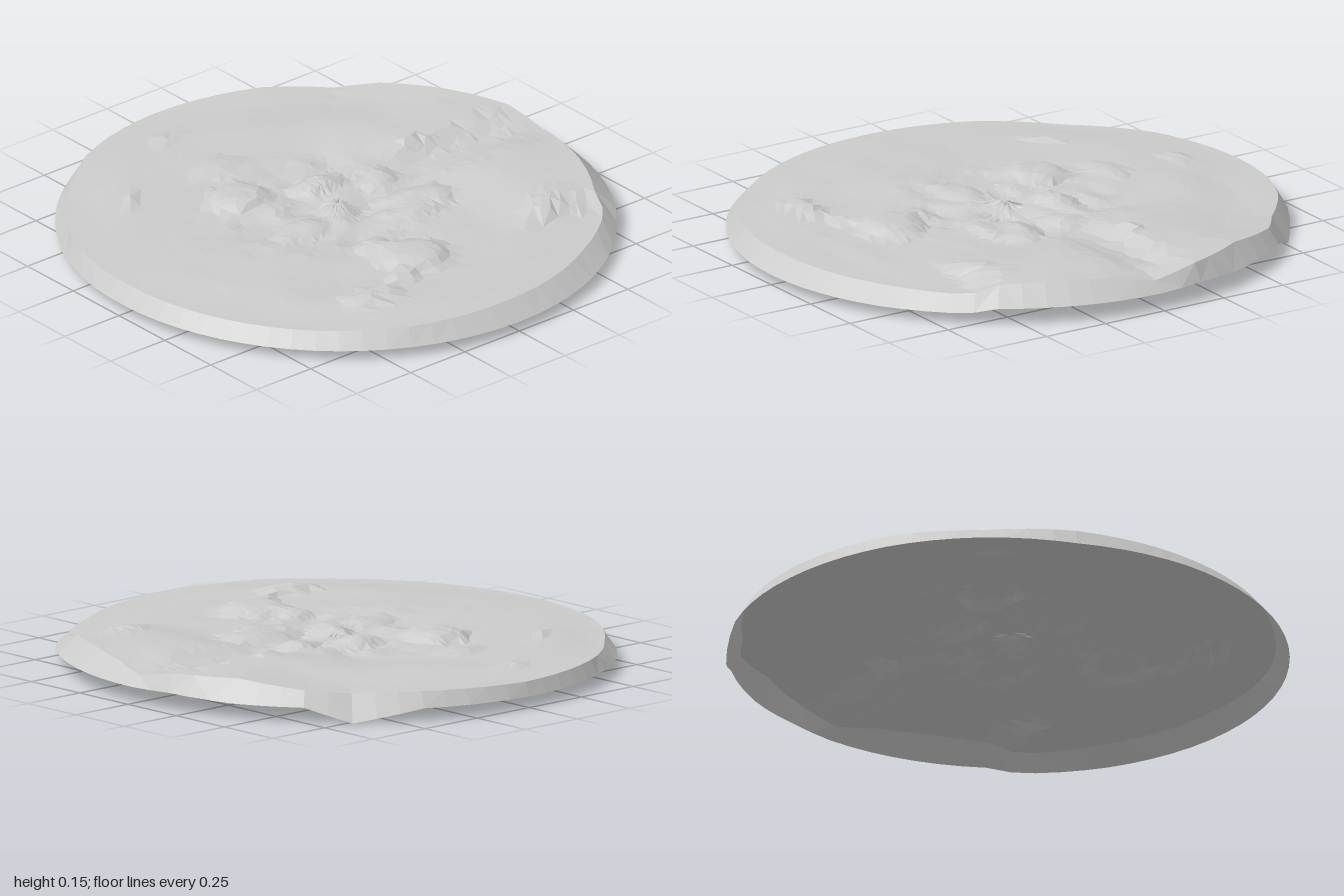
import * as THREE from 'three';

const SEG = 72, RINGS = 30;
const { smoothstep, lerp } = THREE.MathUtils;
const material = new THREE.MeshStandardMaterial({ color: 0xcccccc, flatShading: true, side: THREE.DoubleSide });

// Rim stations: angle from +x towards +z, top edge radius, top height, bottom height
const RIM = [
  [0, 0.965, 0.1, 0.06], [10, 0.935, 0.125, 0.06], [22, 0.925, 0.135, 0.06], [36, 0.925, 0.125, 0.06],
  [41, 0.955, 0.095, 0.04], [60, 0.93, 0.092, 0.036], [90, 0.935, 0.097, 0.036], [115, 0.955, 0.095, 0.036],
  [135, 0.95, 0.09, 0.036], [180, 0.955, 0.093, 0.036], [205, 0.97, 0.09, 0.028], [225, 0.955, 0.085, 0.036],
  [245, 0.975, 0.092, 0.04], [270, 0.98, 0.09, 0.04], [295, 0.965, 0.1, 0.045], [310, 0.94, 0.095, 0],
  [320, 0.965, 0.11, 0.055], [335, 0.945, 0.135, 0.055], [350, 0.97, 0.13, 0.065], [360, 0.965, 0.1, 0.06],
];

// Domes and boulders: x, z, radius x, radius z, height, edge sharpness
const BUMPS = [
  [-0.23, -0.27, 0.13, 0.11, 0.036, 4], [-0.04, 0.47, 0.14, 0.13, 0.036, 4], // two large boulders
  [-0.13, -0.5, 0.13, 0.07, 0.016, 2], [0.22, 0.15, 0.17, 0.12, 0.022, 4],
  [0.05, -0.17, 0.13, 0.07, 0.024, 3], [0.24, -0.06, 0.09, 0.07, 0.022, 3],
  [-0.22, 0.07, 0.12, 0.08, 0.02, 3], [-0.02, 0.01, 0.06, 0.05, 0.022, 3],
  [-0.1, 0.33, 0.08, 0.07, 0.02, 2], [0.08, 0.09, 0.08, 0.06, -0.018, 2],
  [-0.1, -0.06, 0.12, 0.05, -0.014, 2], [-0.18, 0.57, 0.07, 0.06, 0.02, 3],
  [-0.36, 0.62, 0.13, 0.06, 0.022, 4], [-0.53, -0.5, 0.05, 0.04, 0.014, 2],
  [-0.12, -0.8, 0.06, 0.05, 0.014, 2], [0.6, 0.5, 0.17, 0.08, 0.014, 3],
  [0.5, -0.18, 0.07, 0.05, 0.016, 2], [-0.45, 0.2, 0.25, 0.2, 0.006, 1],
  [0.2, -0.62, 0.28, 0.14, 0.01, 1], [0.1, 0.8, 0.35, 0.1, -0.008, 1],
];

// Repeatable pseudo-random value for a lattice point
function hash(i, j) {
  const s = Math.sin(i * 127.1 + j * 311.7) * 43758.5453;
  return s - Math.floor(s);
}

function noise(x, z) {
  const i = Math.floor(x), j = Math.floor(z), u = x - i, v = z - j;
  return lerp(lerp(hash(i, j), hash(i + 1, j), u), lerp(hash(i, j + 1), hash(i + 1, j + 1), u), v) - 0.5;
}

function rimAt(deg) {
  const k = Math.max(1, RIM.findIndex((s) => s[0] >= deg));
  const a = RIM[k - 1], b = RIM[k], t = (deg - a[0]) / (b[0] - a[0]);
  return [1, 2, 3].map((n) => lerp(a[n], b[n], t));
}

// Height of the rocky ground
function height(x, z) {
  let y = 0.101 + 0.012 * noise(x * 5 + z * 2, z * 7 - x * 2);
  const centre = 1 - smoothstep(Math.hypot(x, z), 0.2, 0.6);
  y += 0.024 * centre * noise(x * 15 + 4, z * 17 + 9);
  // Raised slab at the right, ending in a step towards the front
  y += 0.03 * smoothstep(x, 0.3, 0.6) * smoothstep(z, -0.07, 0.1) * (1 - smoothstep(z, 0.52, 0.59));
  // Slab behind the crack, sloping away towards the back
  y += 0.036 * smoothstep(x, 0.15, 0.5) * smoothstep(-z, 0.08, 0.18) * (1 - smoothstep(-z, 0.2, 0.7));
  for (const [bx, bz, rx, rz, h, sharp] of BUMPS) {
    const d = Math.hypot((x - bx) / rx, (z - bz) / rz);
    if (d < 1) y += h * (1 - Math.pow(d, sharp));
  }
  return y;
}

function mesh(name, positions, indices) {
  const geometry = new THREE.BufferGeometry();
  geometry.setAttribute('position', new THREE.Float32BufferAttribute(positions, 3));
  geometry.setIndex(indices);
  geometry.computeVertexNormals();
  const part = new THREE.Mesh(geometry, material);
  part.name = name;
  return part;
}

// Two triangles per cell between ring p (inside) and ring q (outside)
function bridge(indices, p, q) {
  for (let s = 0; s < SEG; s++) {
    const n = (s + 1) % SEG;
    if (hash(s, p) > 0.5) indices.push(p + s, p + n, q + s, p + n, q + n, q + s);
    else indices.push(p + s, q + n, q + s, p + s, p + n, q + n);
  }
}

export function createModel() {
  const group = new THREE.Group();
  group.name = 'rockyGroundDisc';

  // Ground: irregular rings from the centre to the rim
  const ground = [0, height(0, 0), 0], faces = [];
  for (let r = 1; r <= RINGS; r++) {
    for (let s = 0; s < SEG; s++) {
      const edge = r === RINGS;
      const js = edge ? 0 : (hash(r, s) - 0.5) * 0.5, jr = edge ? 0 : (hash(s, r + 50) - 0.5) * 0.5;
      const deg = ((s + js) * 360 / SEG + 360) % 360, a = deg * Math.PI / 180;
      const [inner, top] = rimAt(deg);
      const f = (r + jr) / RINGS, x = Math.cos(a) * f * inner * 0.982, z = Math.sin(a) * f * inner;
      ground.push(x, lerp(height(x, z), top, smoothstep(f, 0.75, 1)), z);
    }
  }
  for (let s = 0; s < SEG; s++) faces.push(0, 1 + (s + 1) % SEG, 1 + s);
  for (let r = 1; r < RINGS; r++) bridge(faces, 1 + (r - 1) * SEG, 1 + r * SEG);
  group.add(mesh('ground', ground, faces));

  // Sloping skirt from the ground's edge down to the open underside
  const skirt = ground.slice(-SEG * 3), skirtFaces = [];
  for (let s = 0; s < SEG; s++) {
    const deg = s * 360 / SEG, a = deg * Math.PI / 180;
    skirt.push(Math.cos(a) * 0.982, rimAt(deg)[2], Math.sin(a));
  }
  bridge(skirtFaces, 0, SEG);
  group.add(mesh('rimSkirt', skirt, skirtFaces));

  return group;
}
